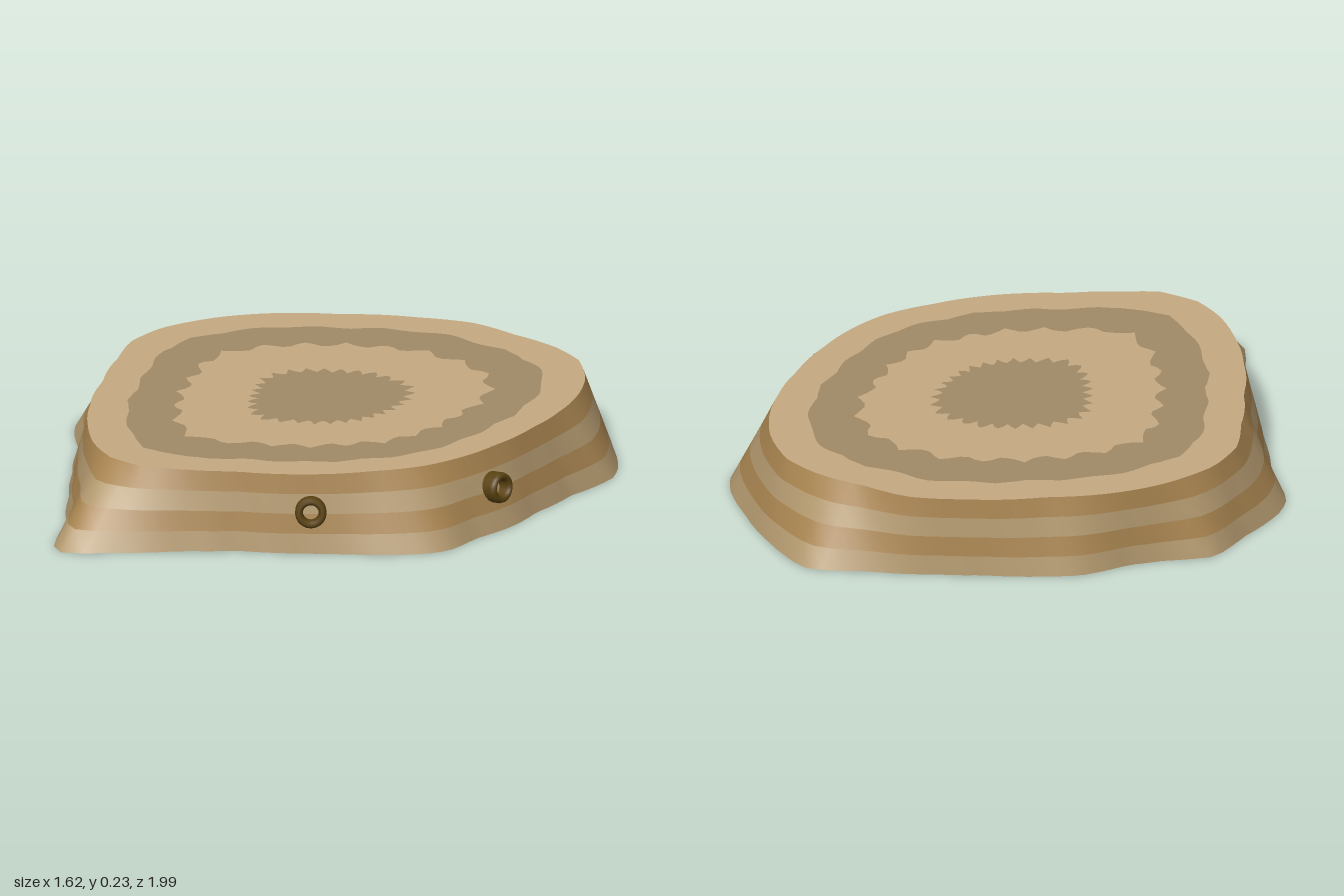
import * as THREE from 'three';

const SEGMENTS = 120, HEIGHT = 0.235;
const CENTER = { x: 0.05, z: -0.06 };

// Outlines as x, z pairs, running round from the back tip
const BASE = [0.04, -1, 0.08, -1, 0.24, -0.945, 0.42, -0.85, 0.57, -0.75, 0.62, -0.69, 0.66, -0.5, 0.71, -0.33,
  0.76, -0.2, 0.775, -0.05, 0.805, 0.06, 0.8, 0.12, 0.73, 0.24, 0.64, 0.34, 0.56, 0.43, 0.42, 0.57, 0.32, 0.7,
  0.2, 0.88, 0.12, 0.99, 0.08, 1, 0.03, 0.96, -0.07, 0.83, -0.25, 0.68, -0.4, 0.55, -0.56, 0.4, -0.72, 0.29,
  -0.76, 0.22, -0.79, 0.02, -0.815, -0.14, -0.72, -0.26, -0.66, -0.35, -0.6, -0.5, -0.53, -0.57, -0.38, -0.69,
  -0.27, -0.78, -0.1, -0.9, 0, -0.98];
const TOP = [0.05, -0.85, 0.14, -0.86, 0.26, -0.845, 0.4, -0.76, 0.5, -0.65, 0.57, -0.53, 0.63, -0.38, 0.68, -0.2,
  0.7, -0.05, 0.69, 0.08, 0.63, 0.23, 0.56, 0.36, 0.48, 0.46, 0.38, 0.55, 0.26, 0.67, 0.18, 0.74, 0.05, 0.765,
  -0.06, 0.735, -0.2, 0.65, -0.33, 0.54, -0.47, 0.38, -0.6, 0.22, -0.69, 0.1, -0.725, -0.04, -0.69, -0.24,
  -0.62, -0.38, -0.49, -0.53, -0.32, -0.7, -0.18, -0.8, -0.03, -0.83];

// Radius of an outline at evenly spaced angles about the centre
function radii(outline) {
  const polar = [];
  for (let i = 0; i < outline.length; i += 2) {
    const x = outline[i] - CENTER.x, z = outline[i + 1] - CENTER.z;
    polar.push({ a: (Math.atan2(z, x) + 2 * Math.PI) % (2 * Math.PI), r: Math.hypot(x, z) });
  }
  polar.sort((p, q) => p.a - q.a);
  const first = polar[0], last = polar[polar.length - 1];
  polar.push({ a: first.a + 2 * Math.PI, r: first.r });
  polar.unshift({ a: last.a - 2 * Math.PI, r: last.r });
  return Array.from({ length: SEGMENTS }, (_, i) => {
    const a = (i / SEGMENTS) * 2 * Math.PI;
    const k = polar.findIndex((p) => p.a > a);
    const p = polar[k - 1], q = polar[k];
    return THREE.MathUtils.lerp(p.r, q.r, (a - p.a) / (q.a - p.a));
  });
}

// Smooth strip between two closed rings
function strip(lower, upper) {
  const positions = [], index = [];
  for (const ring of [lower, upper]) {
    ring.r.forEach((r, i) => {
      const a = (i / SEGMENTS) * 2 * Math.PI;
      positions.push(CENTER.x + r * Math.cos(a), ring.y, CENTER.z + r * Math.sin(a));
    });
  }
  for (let i = 0; i < SEGMENTS; i++) {
    const j = (i + 1) % SEGMENTS;
    index.push(i, SEGMENTS + i, SEGMENTS + j, i, SEGMENTS + j, j);
  }
  const geometry = new THREE.BufferGeometry();
  geometry.setAttribute('position', new THREE.Float32BufferAttribute(positions, 3));
  geometry.setIndex(index);
  geometry.computeVertexNormals();
  return geometry;
}

const paint = (color) => new THREE.MeshStandardMaterial({ color, side: THREE.DoubleSide });

function addMesh(parent, name, geometry, material) {
  const mesh = new THREE.Mesh(geometry, material);
  mesh.name = name;
  parent.add(mesh);
  return mesh;
}

export function createModel() {
  const stump = new THREE.Group();
  stump.name = 'treeStump';
  const base = radii(BASE), top = radii(TOP);

  // Flared bark in four alternating bands, open underneath
  const bark = new THREE.Group();
  bark.name = 'bark';
  stump.add(bark);
  const barkPaints = [paint(0xb2986e), paint(0xa88450)];
  const level = (t) => ({ y: t * HEIGHT, r: base.map((r, i) => THREE.MathUtils.lerp(r, top[i], t)) });
  for (let i = 0; i < 4; i++) {
    addMesh(bark, `barkBand${i + 1}`, strip(level(i / 4), level((i + 1) / 4)), barkPaints[i % 2]);
  }

  // Cut face with jagged growth rings
  const cutFace = new THREE.Group();
  cutFace.name = 'cutFace';
  stump.add(cutFace);
  const woodPaints = [paint(0xc4a880), paint(0xa08a67)];
  const growthRing = (scale, jag, period) => ({
    y: HEIGHT,
    r: top.map((r, i) => {
      const tooth = Math.abs((i % period) / period - 0.5) * 4 - 1;
      return r * (scale + jag * tooth * (0.75 + 0.25 * Math.sin(i * 1.7)));
    }),
  });
  const rings = [growthRing(1, 0, 4), growthRing(0.835, 0.012, 6), growthRing(0.625, 0.035, 5),
    growthRing(0.32, 0.03, 4), growthRing(0, 0, 4)];
  for (let i = 0; i < 4; i++) {
    addMesh(cutFace, `growthRing${i + 1}`, strip(rings[i], rings[i + 1]), woodPaints[i % 2]);
  }

  // Two hollow knots set through the bark
  const knotPaint = paint(0x5a4212);
  const profile = [[0.024, -0.11], [0.046, -0.11], [0.047, -0.015], [0.044, -0.005], [0.036, 0],
    [0.028, -0.004], [0.024, -0.014], [0.024, -0.11]].map(([r, y]) => new THREE.Vector2(r, y));
  [[0.765, -0.165, -0.2], [0.585, 0.425, 0.66]].forEach(([x, z, angle], i) => {
    const knot = addMesh(stump, `knot${i + 1}`, new THREE.LatheGeometry(profile, 20), knotPaint);
    knot.position.set(x, 0.13, z);
    knot.quaternion.setFromUnitVectors(new THREE.Vector3(0, 1, 0),
      new THREE.Vector3(Math.cos(angle), 0.12, Math.sin(angle)).normalize());
  });

  return stump;
}
